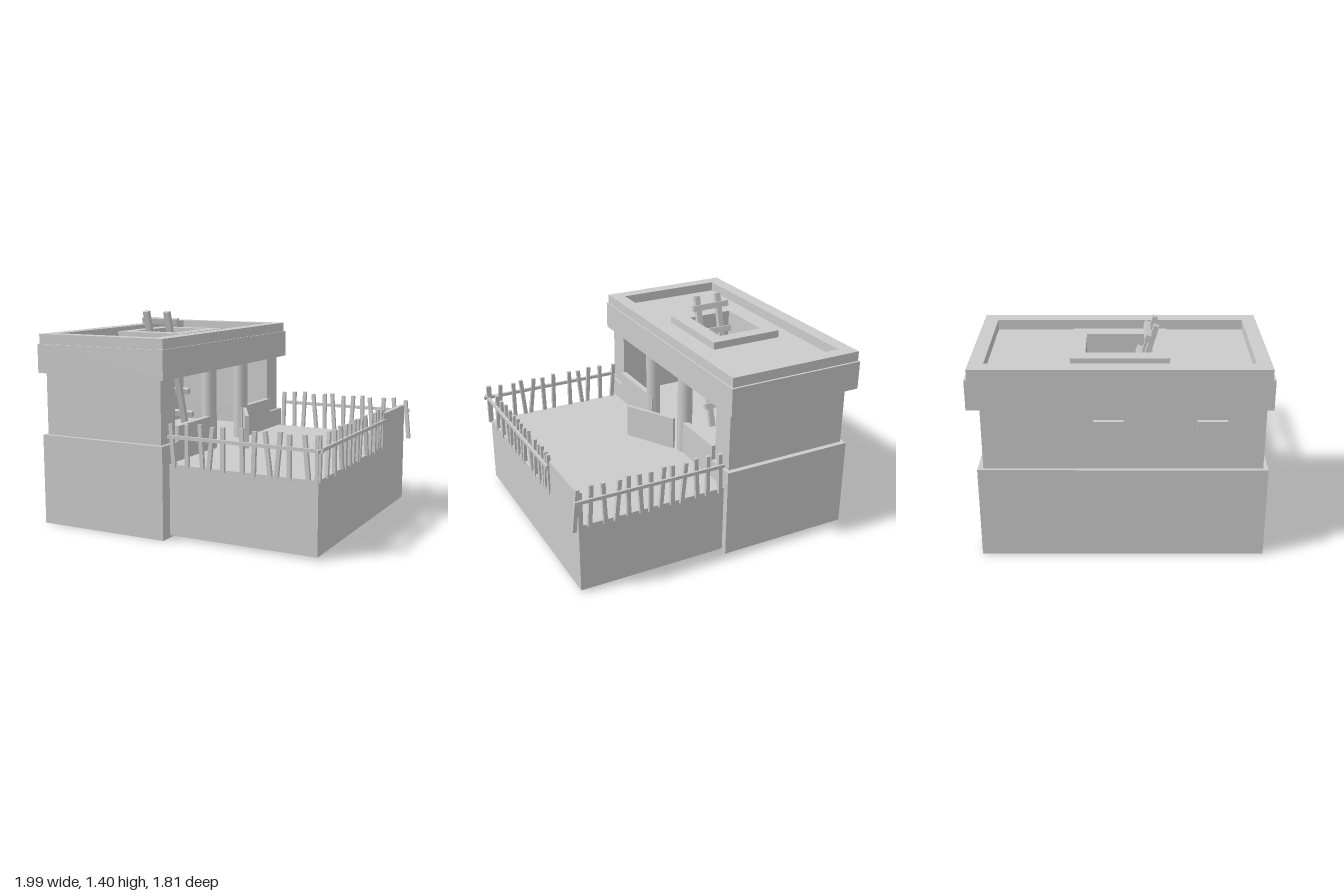
import * as THREE from 'three';

const material = new THREE.MeshStandardMaterial({ color: 0xcccccc, flatShading: true });
const smooth = new THREE.MeshStandardMaterial({ color: 0xcccccc });

function add(parent, name, geometry, mat = material) {
  const mesh = new THREE.Mesh(geometry, mat);
  mesh.name = name;
  parent.add(mesh);
  return mesh;
}

// box given by its limits on each axis
function box(parent, name, x0, x1, y0, y1, z0, z1) {
  const mesh = add(parent, name, new THREE.BoxGeometry(x1 - x0, y1 - y0, z1 - z0));
  mesh.position.set((x0 + x1) / 2, (y0 + y1) / 2, (z0 + z1) / 2);
  return mesh;
}

const corners = (x0, x1, z0, z1) =>
  [[x0, z0], [x1, z0], [x1, z1], [x0, z1]].map(([x, z]) => new THREE.Vector2(x, z));

// floor plan (x, z points) raised from y0 to y1, with an optional hole
function raise(parent, name, plan, y0, y1, hole) {
  const shape = new THREE.Shape(plan);
  if (hole) shape.holes.push(new THREE.Path(hole));
  const geometry = new THREE.ExtrudeGeometry(shape, { depth: y1 - y0, bevelEnabled: false });
  geometry.rotateX(Math.PI / 2).translate(0, y1, 0);
  return add(parent, name, geometry);
}

// walls around three sides, with short returns beside the open front
function openWalls(parent, name, x0, x1, z0, z1, y0, y1) {
  const t = 0.09, a = -0.66, b = 0.7;
  const plan = [[x0, z0], [x1, z0], [x1, a], [x1 - t, a], [x1 - t, z0 + t], [x0 + t, z0 + t],
    [x0 + t, z1 - t], [x1 - t, z1 - t], [x1 - t, b], [x1, b], [x1, z1], [x0, z1]];
  raise(parent, name, plan.map(([x, z]) => new THREE.Vector2(x, z)), y0, y1);
}

// crooked picket fence along local x; posts are [position, lean]
function fence(parent, name, start, end, posts, railOffset) {
  const group = new THREE.Group();
  group.name = name;
  box(group, 'fenceRail', start, end, 0.643, 0.665, railOffset - 0.009, railOffset + 0.009);
  posts.forEach(([x, lean], i) => {
    const post = add(group, 'fencePost', new THREE.BoxGeometry(0.026, 0.28, 0.022));
    post.position.set(x, 0.6 + (i % 3 - 1) * 0.006, 0);
    post.rotation.z = lean;
  });
  parent.add(group);
  return group;
}

export function createModel() {
  const model = new THREE.Group();
  model.name = 'outpost';

  // foundation with terrace, and the building walls
  box(model, 'terraceFoundation', -0.94, 0.945, 0.015, 0.475, -0.82, 0.815);
  openWalls(model, 'lowerWalls', -0.98, -0.06, -0.865, 0.9, 0, 0.6);
  openWalls(model, 'upperWalls', -0.96, -0.085, -0.83, 0.87, 0.6, 1.01);

  // parapets either side of the doorway, and the ajar gate
  box(model, 'frontParapet', -0.1, -0.06, 0.475, 0.7, 0.19, 0.7);
  box(model, 'frontParapet', -0.1, -0.06, 0.475, 0.7, -0.66, -0.19);
  const gate = add(model, 'gate', new THREE.BoxGeometry(0.025, 0.225, 0.38));
  gate.position.set(0.055, 0.5875, -0.02);
  gate.rotation.y = 0.51;
  box(model, 'terraceWall', 0.915, 0.945, 0.475, 0.7, -0.82, -0.37);

  // round pillars under the roof
  for (const z of [0.235, -0.235]) {
    const pillar = add(model, 'pillar', new THREE.CylinderGeometry(0.05, 0.05, 0.535, 24), smooth);
    pillar.position.set(-0.095, 0.7425, z);
  }

  // roof slab with hatch pit, rim and hatch frame
  const pit = corners(-0.69, -0.37, -0.21, 0.2);
  raise(model, 'roofSlab', corners(-1, -0.045, -0.905, 0.905), 1.01, 1.2, pit);
  box(model, 'hatchFloor', -0.69, -0.37, 1.01, 1.02, -0.21, 0.2);
  raise(model, 'roofRim', corners(-0.995, -0.055, -0.89, 0.89), 1.2, 1.265,
    corners(-0.9, -0.15, -0.8, 0.8));
  raise(model, 'hatchFrame', corners(-0.78, -0.27, -0.3, 0.3), 1.2, 1.25, pit);

  // hoods and shutters on the rear wall
  for (const z of [-0.07, 0.55]) {
    box(model, 'windowHood', -0.987, -0.955, 0.865, 0.93, z - 0.09, z + 0.09);
    box(model, 'windowShutter', -0.963, -0.955, 0.7, 0.865, z - 0.06, z + 0.06);
  }

  // ladder leaning up through the hatch
  const ladder = new THREE.Group();
  ladder.name = 'ladder';
  for (const x of [-0.595, -0.43]) {
    box(ladder, 'ladderRail', x - 0.02, x + 0.02, -0.47, 0.47, -0.017, 0.017);
  }
  for (let i = 0; i < 5; i++) {
    const rung = add(ladder, 'ladderRung', new THREE.BoxGeometry(0.28, 0.04, 0.032));
    rung.position.set(-0.513, -0.31 + i * 0.175, -0.032);
    rung.rotation.z = (i % 2 ? 1 : -1) * 0.015;
  }
  ladder.position.set(0, 0.94, 0.092);
  ladder.rotation.x = 0.28;
  model.add(ladder);

  // terrace fences
  fence(model, 'frontFence', -0.06, 0.98, [[-0.035, 0.08], [0.07, 0], [0.17, 0.06], [0.235, -0.1],
    [0.32, 0], [0.45, 0.02], [0.53, -0.03], [0.62, 0.13], [0.69, -0.09], [0.76, 0], [0.87, 0.1],
    [0.95, 0]], 0.014).position.z = 0.815;
  fence(model, 'backFence', -0.04, 0.975, [[-0.02, -0.03], [0.07, 0], [0.15, -0.05], [0.24, 0.1],
    [0.32, 0], [0.39, 0.08], [0.47, 0], [0.54, -0.06], [0.62, 0], [0.69, 0.1], [0.78, -0.04],
    [0.87, 0.06], [0.965, 0.11]], -0.016).position.z = -0.83;
  const side = fence(model, 'sideFence', -0.36, 0.87, [[-0.34, 0], [-0.29, 0.1], [-0.24, -0.04],
    [-0.18, 0], [-0.1, 0.08], [-0.01, -0.16], [0.1, 0.1], [0.15, 0], [0.22, 0.04], [0.29, 0],
    [0.37, 0.02], [0.44, -0.13], [0.55, 0], [0.66, 0.11], [0.82, 0]], -0.014);
  side.position.x = 0.94;
  side.rotation.y = -Math.PI / 2;

  return model;
}
